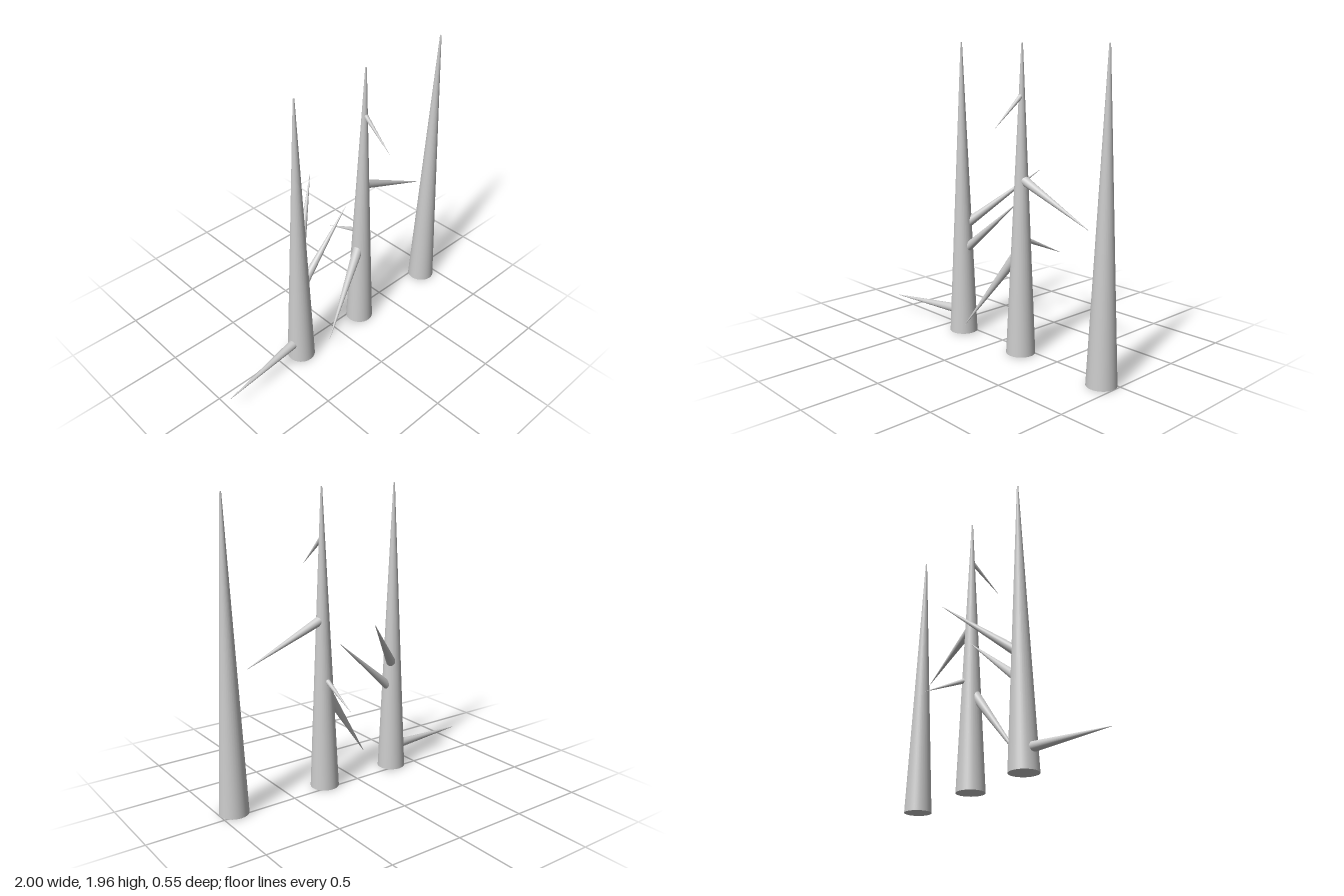
import * as THREE from 'three';

const material = new THREE.MeshStandardMaterial({ color: 0xcccccc });
const TRUNK_Z = 0.055, HEIGHT = 1.96, BASE_RADIUS = 0.094;

// Each tree: trunk x, then branches as height on the trunk axis and tip position
const trees = [
  { name: 'rightTree', x: -0.335, branches: [
    { y: 0.14, tip: [-1, 0.107, 0.132] },
    { y: 0.735, tip: [0.065, 1.133, -0.272] },
    { y: 0.56, tip: [0.14, 0.967, -0.01] },
  ] },
  { name: 'middleTree', x: 0.23, branches: [
    { y: 1.137, tip: [0.78, 0.903, 0.053] },
    { y: 0.685, tip: [-0.18, 0.105, 0.175] },
    { y: 1.65, tip: [0.228, 1.46, 0.275] },
    { y: 0.76, tip: [0.252, 0.61, -0.277] },
  ] },
  { name: 'leftTree', x: 0.905, branches: [] },
];

// Tapered, nearly pointed spike between two points
function spike(name, from, to, baseRadius, tipRadius, sides) {
  const dir = to.clone().sub(from);
  const geometry = new THREE.CylinderGeometry(tipRadius, baseRadius, dir.length(), sides);
  const mesh = new THREE.Mesh(geometry, material);
  mesh.name = name;
  mesh.position.copy(from).add(to).multiplyScalar(0.5);
  mesh.quaternion.setFromUnitVectors(new THREE.Vector3(0, 1, 0), dir.normalize());
  return mesh;
}

export function createModel() {
  const model = new THREE.Group();
  model.name = 'bareTrees';
  for (const { name, x, branches } of trees) {
    const tree = new THREE.Group();
    tree.name = name;
    tree.add(spike('trunk', new THREE.Vector3(x, 0, TRUNK_Z),
      new THREE.Vector3(x, HEIGHT, TRUNK_Z), BASE_RADIUS, 0.005, 32));
    // Branch thickness follows its length
    branches.forEach(({ y, tip }, i) => {
      const from = new THREE.Vector3(x, y, TRUNK_Z);
      const to = new THREE.Vector3(...tip);
      const length = from.distanceTo(to);
      tree.add(spike(`branch${i + 1}`, from, to, length * 0.053, length * 0.002, 24));
    });
    model.add(tree);
  }
  return model;
}
